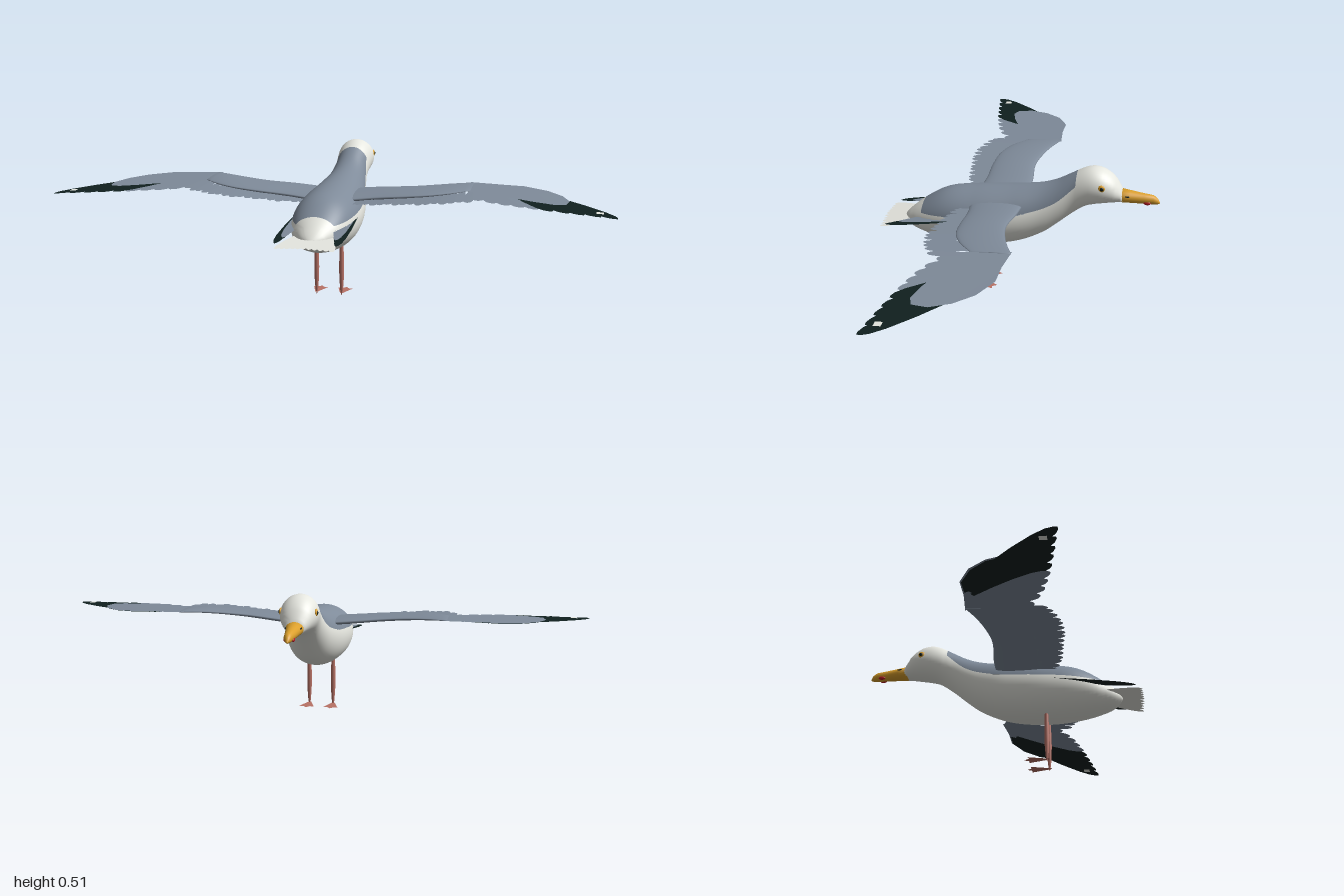
import * as THREE from 'three';

const mat = (name, color, side = THREE.FrontSide) => {
  const m = new THREE.MeshStandardMaterial({ color, side });
  m.name = name;
  return m;
};

export function createModel() {
  const bird = new THREE.Group();
  bird.name = 'seabird';
  const white = mat('white plumage', 0xe6e7e0, THREE.DoubleSide);
  const grey = mat('grey plumage', 0x7f8b9a, THREE.DoubleSide);
  const black = mat('black plumage', 0x10201f, THREE.DoubleSide);
  const yellow = mat('yellow beak', 0xdca02c);
  const red = mat('red spot', 0xb81a22);
  const pink = mat('pink legs', 0xb87266, THREE.DoubleSide);

  const add = (parent, name, geo, material, x = 0, y = 0, z = 0) => {
    const m = new THREE.Mesh(geo, material);
    m.name = name;
    m.position.set(x, y, z);
    parent.add(m);
    return m;
  };

  // Smooth curve through rows of [key, values...]
  const curve = (rows) => {
    const n = rows[0].length - 1;
    const c = new THREE.CubicInterpolant(rows.map((r) => r[0]), rows.flatMap((r) => r.slice(1)), n);
    return (t) => Array.from(c.evaluate(t));
  };

  // Closed skin over rings of points; pick(ring, segment) chooses the material index
  const skin = (rings, pick = () => 0) => {
    const n = rings[0].length, lists = [[], []];
    const pos = rings.flat(2);
    for (let i = 0; i < rings.length - 1; i++) {
      for (let j = 0; j < n; j++) {
        const a = i * n + j, b = i * n + (j + 1) % n;
        lists[pick(i, j)].push(a, b, a + n, b, b + n, a + n);
      }
    }
    for (const r of [0, rings.length - 1]) {
      const c = pos.length / 3;
      pos.push(...[0, 1, 2].map((k) => rings[r].reduce((s, p) => s + p[k], 0) / n));
      for (let j = 0; j < n; j++) {
        const a = r * n + j, b = r * n + (j + 1) % n;
        lists[0].push(...(r ? [a, b, c] : [b, a, c]));
      }
    }
    const g = new THREE.BufferGeometry();
    g.setAttribute('position', new THREE.Float32BufferAttribute(pos, 3));
    g.setIndex([...lists[0], ...lists[1]]);
    g.addGroup(0, lists[0].length, 0);
    g.addGroup(lists[0].length, lists[1].length, 1);
    g.computeVertexNormals();
    return g;
  };

  // Body and head: z, top, bottom, half width
  const body = curve([
    [-0.385, 0.425, 0.385, 0.030], [-0.36, 0.467, 0.383, 0.047], [-0.32, 0.500, 0.377, 0.063],
    [-0.28, 0.510, 0.369, 0.067], [-0.25, 0.504, 0.359, 0.065], [-0.2, 0.478, 0.323, 0.062],
    [-0.15, 0.450, 0.280, 0.069], [-0.1, 0.431, 0.241, 0.079], [0, 0.413, 0.196, 0.100],
    [0.15, 0.396, 0.177, 0.115], [0.27, 0.374, 0.185, 0.105], [0.35, 0.328, 0.203, 0.080],
    [0.4, 0.288, 0.222, 0.048], [0.42, 0.268, 0.240, 0.024], [0.428, 0.257, 0.251, 0.005]]);
  // Lower edge of the grey mantle: z, height
  const mantle = curve([[-0.218, 0.448], [-0.15, 0.386], [-0.04, 0.342], [0.1, 0.322], [0.25, 0.308], [0.352, 0.298]]);
  const zs = [-0.385, -0.375];
  for (let i = 0; i <= 12; i++) zs.push(-0.36 + i * 0.142 / 12);
  for (let i = 1; i <= 40; i++) zs.push(-0.218 + i * 0.57 / 40);
  zs.push(0.37, 0.385, 0.4, 0.41, 0.42, 0.425, 0.428);
  const TOP = 20, LOW = 28;
  const bodyRings = zs.map((z) => {
    const [top, bottom, w] = body(z);
    const c = (top + bottom) / 2, h = (top - bottom) / 2;
    const edge = mantle(THREE.MathUtils.clamp(z, -0.218, 0.352))[0];
    const a = Math.asin(THREE.MathUtils.clamp((edge - c) / h, -0.5, 0.85));
    return Array.from({ length: TOP + LOW }, (_, j) => {
      const t = j < TOP ? a + (Math.PI - 2 * a) * j / TOP
        : Math.PI - a + (Math.PI + 2 * a) * (j - TOP) / LOW;
      return [w * Math.cos(t), c + h * Math.sin(t), z];
    });
  });
  const isMantle = (i, j) => (j < TOP && zs[i] > -0.2185 && zs[i] < 0.345 ? 1 : 0);
  add(bird, 'body', skin(bodyRings, isMantle), [white, grey]);

  // Hooked beak
  const beakRows = [[-0.516, 0.392, 0.387, 0.003], [-0.508, 0.406, 0.384, 0.009], [-0.493, 0.417, 0.383, 0.015],
    [-0.46, 0.421, 0.383, 0.019], [-0.41, 0.428, 0.383, 0.026], [-0.37, 0.433, 0.384, 0.034]];
  add(bird, 'beak', skin(beakRows.map(([z, t, b, w]) => Array.from({ length: 20 }, (_, j) => {
    const a = j * Math.PI / 10;
    return [w * Math.cos(a), (t + b) / 2 + (t - b) / 2 * Math.sin(a), z];
  }))), yellow);

  const blob = (name, material, s, x, y, z, rx, ry, rz) =>
    add(bird, name, new THREE.SphereGeometry(1, 20, 14), material, s * x, y, z).scale.set(rx, ry, rz);

  // Flat plate in the x-z plane, raised by height(x, z)
  const plate = (pts, height) => {
    const g = new THREE.ShapeGeometry(new THREE.Shape(pts.map((p) => new THREE.Vector2(p[0], p[1]))));
    const p = g.attributes.position;
    for (let i = 0; i < p.count; i++) p.setXYZ(i, p.getX(i), height(p.getX(i), p.getY(i)), p.getY(i));
    g.computeVertexNormals();
    return g;
  };
  const vane = [[0, 0.35], [0.3, 0.75], [0.6, 1], [0.82, 0.95], [0.93, 0.7], [0.98, 0.35]];
  const feather = (x0, z0, x1, z1, width, height) => {
    const dx = x1 - x0, dz = z1 - z0, l = Math.hypot(dx, dz), k = width / 2 / l;
    const at = ([t, w], s) => [x0 + dx * t - s * dz * w * k, z0 + dz * t + s * dx * w * k];
    return plate([...vane.map((v) => at(v, -1)), [x1, z1], ...vane.slice().reverse().map((v) => at(v, 1))], height);
  };

  // Tail fan
  for (let i = -5; i <= 5; i++) {
    add(bird, 'tailFeather', feather(i * 0.009, 0.33, i * 0.0195, 0.507 - Math.abs(i) * 0.001, 0.028,
      (x, z) => 0.274 - (z - 0.335) * 0.145 - Math.abs(i) * 0.0012), white);
  }

  // One wing, built on +x
  const line = curve([[0.05, 0.358], [0.25, 0.376], [0.45, 0.389], [0.6, 0.387], [0.8, 0.379], [1, 0.370]]);
  const wingY = (off) => (x, z) => line(x)[0] - 0.05 * z + off;
  const makeWing = () => {
    const wing = new THREE.Group();
    // Rounded arm: x, leading z, trailing z, thickness
    const arm = curve([[0.05, -0.03, 0.165, 0.028], [0.15, -0.027, 0.152, 0.027], [0.27, -0.015, 0.152, 0.024],
      [0.36, -0.03, 0.142, 0.020], [0.43, -0.052, 0.11, 0.016], [0.49, -0.078, 0.06, 0.008]]);
    const rings = Array.from({ length: 23 }, (_, i) => {
      const x = 0.05 + i * 0.02;
      const [lead, trail, thick] = arm(x);
      return Array.from({ length: 24 }, (_, j) => {
        const a = j * Math.PI / 12, z = (lead + trail) / 2 - Math.cos(a) * (trail - lead) / 2;
        return [x, wingY(0)(x, z) - Math.sin(a) * thick / 2, z];
      });
    });
    add(wing, 'wingArm', skin(rings), grey);
    // Secondaries
    const rear = curve([[0.08, 0.195], [0.15, 0.222], [0.25, 0.238], [0.36, 0.25], [0.44, 0.235], [0.51, 0.2]]);
    for (let i = 0; i < 16; i++) {
      const x = 0.09 + i * 0.0272;
      add(wing, 'secondaryFeather', feather(x - 0.01, 0.03, x, rear(x)[0], 0.036, wingY(-0.008 + (i % 3) * 0.0015)), grey);
    }
    // Primaries, inner grey and outer black
    const tips = [[0.53, 0.165], [0.585, 0.19], [0.635, 0.21], [0.685, 0.224], [0.735, 0.236],
      [0.785, 0.246], [0.84, 0.256], [0.89, 0.265], [0.945, 0.274], [1, 0.283]];
    tips.forEach(([x, z], i) => {
      add(wing, 'primaryFeather', feather(0.5 + i * 0.018, -0.02 - i * 0.003, x, z, 0.052 + i * 0.001,
        wingY(-0.009 + i * 0.0007)), i < 5 ? grey : black);
    });
    add(wing, 'underHandPatch', plate([[0.6, -0.06], [0.67, -0.06], [0.75, -0.018], [0.805, 0.04],
      [0.835, 0.12], [0.8, 0.16], [0.7, 0.1]], wingY(-0.0015)), black);
    // Coverts over the hand
    add(wing, 'handCoverts', plate([[0.475, -0.078], [0.58, -0.066], [0.67, -0.065], [0.755, -0.022], [0.81, 0.04], [0.838, 0.11],
      [0.828, 0.165], [0.79, 0.178], [0.72, 0.16], [0.62, 0.12], [0.49, 0.075]], wingY(0.001)), grey);
    // Pale spots near the tip
    for (const off of [0.0005, -0.0055]) {
      add(wing, 'tipSpot', plate([[0.93, 0.222], [0.954, 0.222], [0.954, 0.247], [0.93, 0.247]], wingY(off)), white);
    }
    // Long feathers lying along the flank
    const flankY = (off) => (x, z) => 0.334 - (z + 0.04) * 0.144 + off;
    for (let i = 0; i < 6; i++) {
      add(wing, 'flankFeather', feather(0.088 + i * 0.002, -0.04 + i * 0.02, 0.07 + i * 0.007, 0.36 + i * 0.024, 0.036,
        flankY(0.006 - i * 0.0015)), i < 4 ? grey : black);
    }
    return wing;
  };

  for (const s of [1, -1]) {
    const side = s > 0 ? 'left' : 'right';
    const wing = makeWing();
    wing.name = side + 'Wing';
    wing.scale.x = s;
    bird.add(wing);

    // Face details
    blob(side + 'Eye', yellow, s, 0.061, 0.453, -0.312, 0.006, 0.013, 0.013);
    blob(side + 'Pupil', black, s, 0.064, 0.453, -0.314, 0.005, 0.0075, 0.0075);
    blob(side + 'Nostril', black, s, 0.026, 0.414, -0.401, 0.003, 0.0025, 0.01);
    blob(side + 'BeakSpot', red, s, 0.014, 0.390, -0.472, 0.005, 0.007, 0.013);

    // Spindle leg and webbed foot
    const legPts = [[0.001, 0], [0.005, 0.02], [0.008, 0.06], [0.009, 0.1], [0.008, 0.15], [0.006, 0.2]];
    add(bird, side + 'Leg', new THREE.LatheGeometry(legPts.map((p) => new THREE.Vector2(...p)), 14), pink, s * 0.046, 0.003, 0.152);
    add(bird, side + 'Foot', plate([[-0.004, 0.16], [-0.028, 0.085], [-0.012, 0.088], [0, 0.07],
      [0.012, 0.088], [0.028, 0.085], [0.004, 0.16]], () => 0.012), pink, s * 0.046);
  }
  return bird;
}
